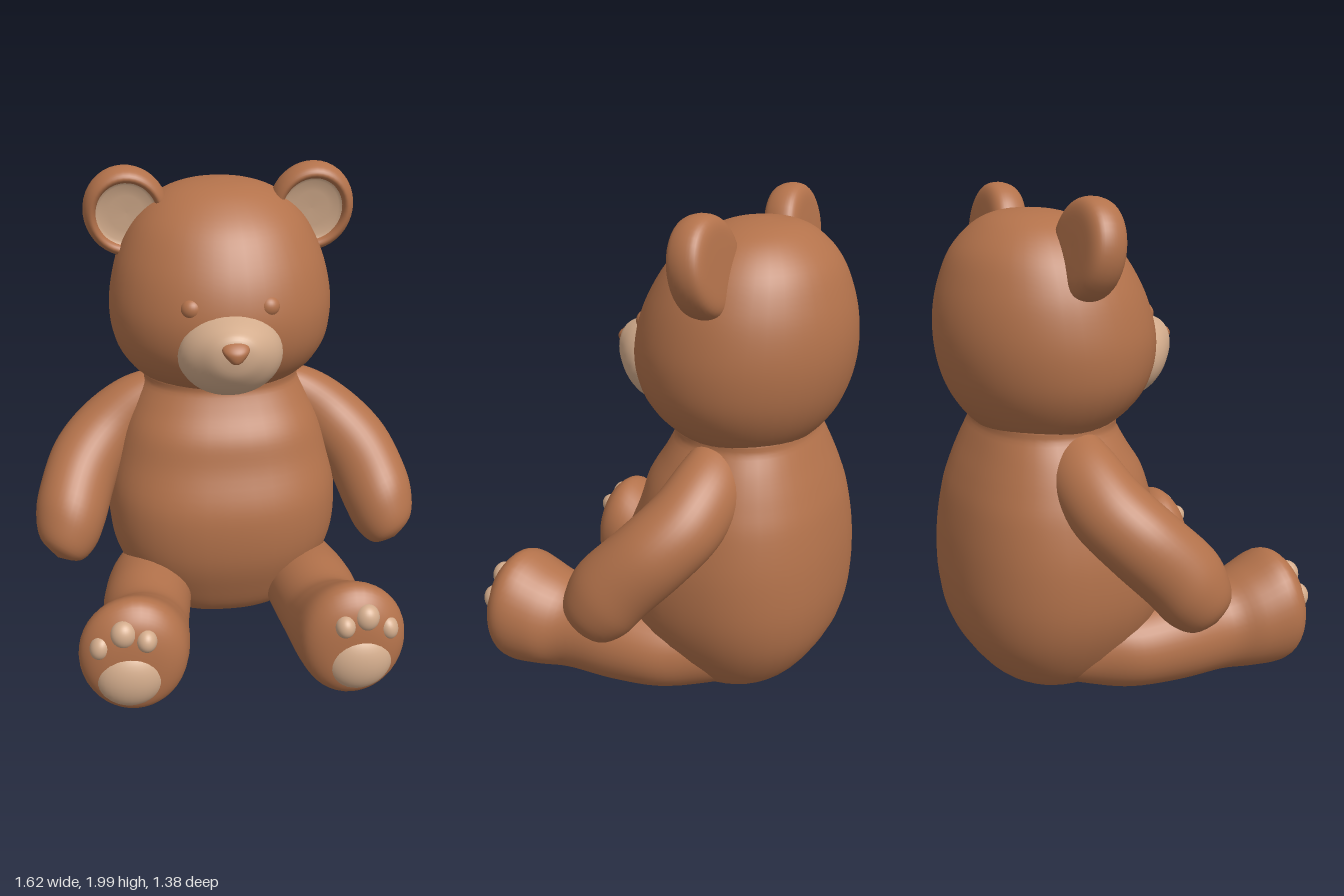
import * as THREE from 'three';
import { mergeVertices } from 'three/addons/utils/BufferGeometryUtils.js';

const X = new THREE.Vector3(1, 0, 0);
const Y = new THREE.Vector3(0, 1, 0);
const Z = new THREE.Vector3(0, 0, 1);

// Catmull-Rom blend of ring rows, so a few rings give a smooth skin
function sampleRings(rings, steps) {
  const out = [];
  const last = rings.length - 1;
  for (let i = 0; i < last; i++) {
    const a = rings[Math.max(i - 1, 0)], b = rings[i];
    const c = rings[i + 1], d = rings[Math.min(i + 2, last)];
    for (let s = 0; s < steps; s++) {
      const t = s / steps;
      out.push(b.map((v, k) => 0.5 * (2 * v + (c[k] - a[k]) * t
        + (2 * a[k] - 5 * v + 4 * c[k] - d[k]) * t * t
        + (3 * v - a[k] - 3 * c[k] + d[k]) * t * t * t)));
    }
  }
  out.push(rings[last]);
  return out;
}

// Skin over rings [x, y, z, radiusU, radiusV]; u cross v points along the rings
function loft(rings, u, v, power = 1, sides = 40) {
  const rows = sampleRings(rings, 5);
  const pos = [], index = [];
  const bend = (n) => Math.sign(n) * Math.pow(Math.abs(n), power);
  rows.forEach(([x, y, z, ru, rv]) => {
    for (let j = 0; j < sides; j++) {
      const t = (j / sides) * Math.PI * 2;
      const p = new THREE.Vector3(x, y, z)
        .addScaledVector(u, bend(Math.cos(t)) * Math.max(ru, 0))
        .addScaledVector(v, bend(Math.sin(t)) * Math.max(rv, 0));
      pos.push(p.x, p.y, p.z);
    }
  });
  for (let i = 0; i < rows.length - 1; i++) {
    for (let j = 0; j < sides; j++) {
      const k = (j + 1) % sides;
      const a = i * sides + j, b = i * sides + k;
      index.push(a, b, a + sides, b, b + sides, a + sides);
    }
  }
  let geo = new THREE.BufferGeometry();
  geo.setAttribute('position', new THREE.Float32BufferAttribute(pos, 3));
  geo.setIndex(index);
  geo = mergeVertices(geo, 1e-5);
  geo.computeVertexNormals();
  return geo;
}

// Upright loft from rows [y, front z, back z, half width]
const uprightLoft = (rows, power) => loft(
  rows.map(([y, f, b, w]) => [0, y, (f + b) / 2, (f - b) / 2, w]), Z, X, power);

// Ellipsoid placed in model space
function blob(x, y, z, rx, ry, rz, roll = 0) {
  return new THREE.SphereGeometry(1, 32, 20).scale(rx, ry, rz).rotateZ(roll).translate(x, y, z);
}

// Mirror across x and restore the facing
function mirrored(geo) {
  const g = geo.clone();
  const p = g.attributes.position, n = g.attributes.normal, idx = g.index;
  for (let i = 0; i < p.count; i++) {
    p.setX(i, -p.getX(i));
    n.setX(i, -n.getX(i));
  }
  for (let i = 0; i < idx.count; i += 3) {
    const a = idx.getX(i);
    idx.setX(i, idx.getX(i + 1));
    idx.setX(i + 1, a);
  }
  return g;
}

export function createModel() {
  const bear = new THREE.Group();
  bear.name = 'teddyBear';
  const fur = new THREE.MeshStandardMaterial({ color: 0xb3724b });
  fur.name = 'brownFur';
  const cream = new THREE.MeshStandardMaterial({ color: 0xd3ac8c });
  cream.name = 'tanFelt';

  const add = (name, geo, mat) => {
    const mesh = new THREE.Mesh(geo, mat);
    mesh.name = name;
    bear.add(mesh);
  };
  const addPair = (name, geo, mat) => {
    add('left' + name, geo, mat);
    add('right' + name, mirrored(geo), mat);
  };

  // Torso, with a full belly and a narrow neck
  add('body', uprightLoft([
    [0.01, -0.28, -0.28, 0], [0.03, -0.1, -0.43, 0.2], [0.1, 0.05, -0.55, 0.34],
    [0.25, 0.13, -0.65, 0.44], [0.42, 0.18, -0.69, 0.495], [0.62, 0.18, -0.69, 0.5],
    [0.8, 0.115, -0.665, 0.465], [0.92, 0.08, -0.63, 0.425], [1.02, 0.02, -0.59, 0.38],
    [1.1, -0.02, -0.555, 0.335], [1.17, -0.04, -0.52, 0.3], [1.25, -0.28, -0.28, 0],
  ], 0.85), fur);

  // Head
  add('head', uprightLoft([
    [1.04, -0.28, -0.28, 0], [1.07, -0.1, -0.48, 0.22], [1.12, -0.02, -0.555, 0.325],
    [1.2, 0.08, -0.62, 0.4], [1.3, 0.14, -0.665, 0.448], [1.42, 0.16, -0.69, 0.463],
    [1.54, 0.14, -0.69, 0.45], [1.66, 0.09, -0.665, 0.415], [1.78, 0.01, -0.615, 0.35],
    [1.87, -0.1, -0.53, 0.255], [1.915, -0.2, -0.44, 0.14], [1.93, -0.32, -0.32, 0],
  ], 1), fur);

  // Tapering muzzle, nose and eyes
  add('muzzle', loft([
    [0, 1.325, 0, 0, 0], [0, 1.325, 0.04, 0.19, 0.16], [0, 1.328, 0.11, 0.207, 0.174],
    [0, 1.337, 0.17, 0.185, 0.153], [0, 1.352, 0.225, 0.137, 0.118],
    [0, 1.37, 0.268, 0.08, 0.072], [0, 1.38, 0.285, 0, 0],
  ], X, Y), cream);
  add('nose', loft([
    [0, 1.348, 0.275, 0, 0], [0, 1.358, 0.28, 0.025, 0.022], [0, 1.39, 0.275, 0.037, 0.048],
    [0, 1.412, 0.265, 0.035, 0.052], [0, 1.43, 0.255, 0.02, 0.034], [0, 1.435, 0.25, 0, 0],
  ], Z, X), fur);
  addPair('Eye', blob(0.15, 1.513, 0.093, 0.045, 0.043, 0.042), fur);

  // Ears: rounded rim with a hollow front and a felt lining
  const rim = new THREE.SplineCurve([
    [0, -0.07], [0.07, -0.07], [0.13, -0.066], [0.162, -0.045], [0.173, 0], [0.165, 0.045],
    [0.145, 0.066], [0.127, 0.056], [0.119, 0.025],
  ].map(([r, h]) => new THREE.Vector2(r, h))).getPoints(32);
  rim.forEach((p) => { p.x = Math.max(p.x, 0); });
  const lining = [[0.125, 0.045], [0.11, 0.034], [0.07, 0.03], [0, 0.028]]
    .map(([r, h]) => new THREE.Vector2(r, h));
  const placeEar = (points) => new THREE.LatheGeometry(points, 40)
    .rotateX(Math.PI / 2).scale(1, 1.08, 1).rotateX(0.15)
    .rotateZ(-0.2).translate(0.378, 1.812, -0.283);
  addPair('Ear', placeEar(rim), fur);
  addPair('EarLining', placeEar(lining), cream);

  // Arms slope off the neck, then hang out, down and forward
  const along = new THREE.Vector3(0.38, -0.52, 0.32).normalize();
  const armU = new THREE.Vector3().crossVectors(Y, along).normalize();
  const armV = new THREE.Vector3().crossVectors(along, armU);
  addPair('Arm', loft([
    [0.14, 1.12, -0.3, 0, 0], [0.23, 1.055, -0.3, 0.11, 0.1], [0.345, 0.98, -0.3, 0.14, 0.14],
    [0.485, 0.87, -0.265, 0.148, 0.152], [0.592, 0.755, -0.175, 0.152, 0.157],
    [0.655, 0.62, -0.05, 0.157, 0.158], [0.69, 0.525, 0.01, 0.143, 0.143],
    [0.716, 0.455, 0.055, 0.095, 0.095], [0.727, 0.427, 0.07, 0, 0],
  ], armU, armV), fur);

  // Legs grow out of the hips into big upright feet
  addPair('Leg', loft([
    [0.25, 0.22, -0.5, 0, 0], [0.265, 0.22, -0.4, 0.08, 0.1], [0.29, 0.21, -0.25, 0.14, 0.15],
    [0.33, 0.2, -0.1, 0.178, 0.168], [0.358, 0.205, 0.1, 0.187, 0.185],
    [0.378, 0.207, 0.3, 0.18, 0.187], [0.41, 0.235, 0.42, 0.207, 0.215],
    [0.432, 0.265, 0.54, 0.217, 0.247], [0.432, 0.258, 0.61, 0.188, 0.215],
    [0.432, 0.25, 0.65, 0.115, 0.14], [0.432, 0.25, 0.662, 0, 0],
  ], X, Y), fur);

  // Felt sole pad and three toe pads
  addPair('SolePad', blob(0.45, 0.205, 0.6, 0.14, 0.137, 0.09), cream);
  [[0.385, 0.378, 0.632, 0.041, 0.047], [0.472, 0.405, 0.62, 0.051, 0.056],
    [0.562, 0.345, 0.606, 0.041, 0.052]].forEach(([x, y, z, rx, ry], i) => {
    addPair('ToePad' + (i + 1), blob(x, y, z, rx, ry, 0.048, i === 2 ? 0.3 : 0), cream);
  });

  return bear;
}
